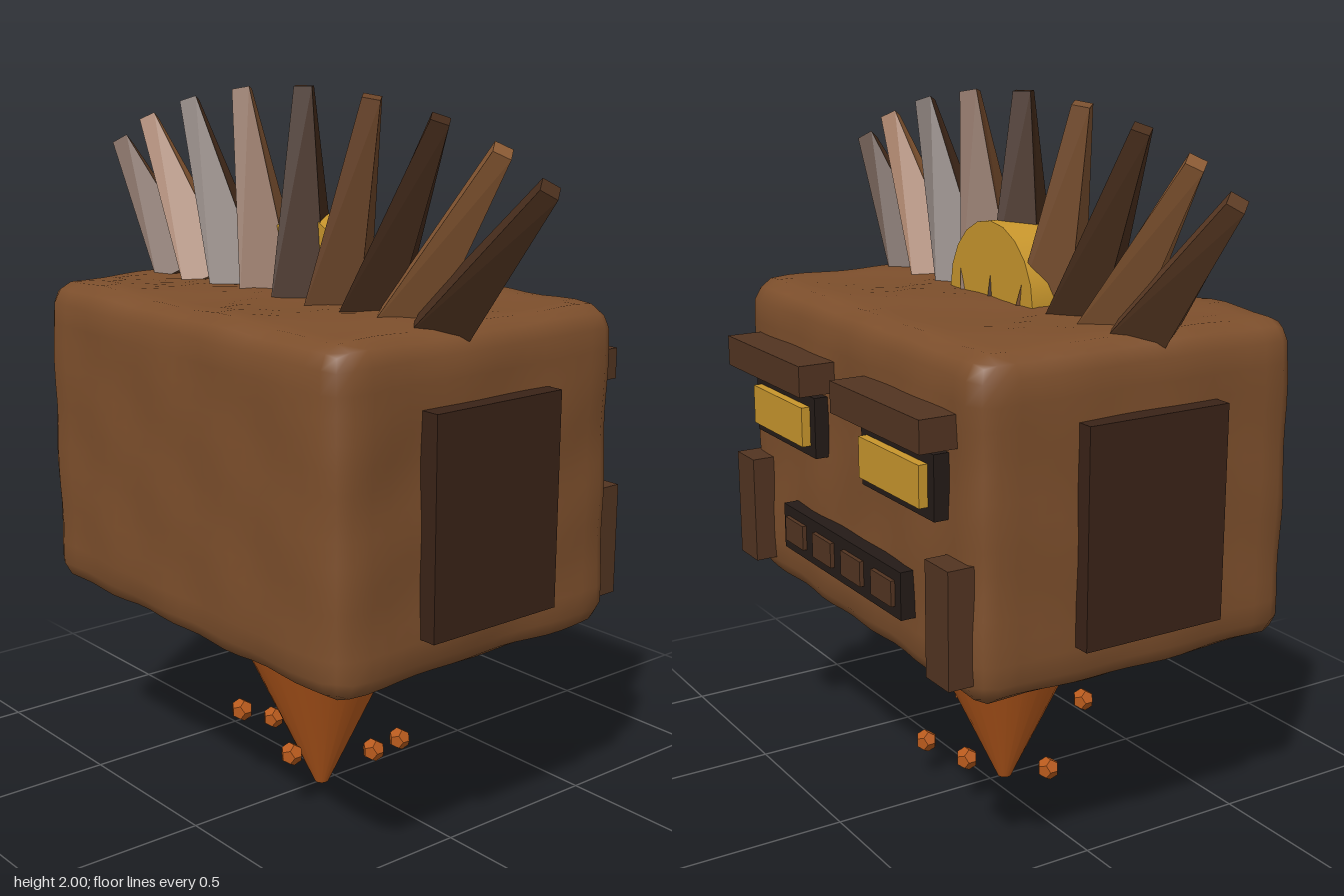
import * as THREE from 'three';
import { mergeVertices } from 'three/addons/utils/BufferGeometryUtils.js';

const mat = (color, flatShading = false) => new THREE.MeshStandardMaterial({ color, flatShading });
const ROCK = mat(0x7d4f2c), PLATE = mat(0x3a2317), BROW = mat(0x523421), DARK = mat(0x241b17),
  GOLD = mat(0xc8962c), ORANGE = mat(0xb85a1c), COLLAR = mat(0x3d322d), SPARK = mat(0xb85a1c, true);

function add(group, name, geometry, material, x = 0, y = 0, z = 0) {
  const mesh = new THREE.Mesh(geometry, material);
  mesh.name = name;
  mesh.position.set(x, y, z);
  group.add(mesh);
  return mesh;
}

// Box given by its limits on each axis
function block(group, name, material, [x0, x1], [y0, y1], [z0, z1]) {
  return add(group, name, new THREE.BoxGeometry(x1 - x0, y1 - y0, z1 - z0), material,
    (x0 + x1) / 2, (y0 + y1) / 2, (z0 + z1) / 2);
}

// Box with rounded edges and a slightly uneven stone surface
function stoneGeometry(w, h, d, r) {
  const geo = new THREE.BoxGeometry(w, h, d, 22, 15, 17);
  geo.deleteAttribute('uv');
  geo.deleteAttribute('normal');
  const merged = mergeVertices(geo, 1e-4);
  const pos = merged.attributes.position;
  const p = new THREE.Vector3(), inner = new THREE.Vector3();
  const half = new THREE.Vector3(w / 2 - r, h / 2 - r, d / 2 - r);
  for (let i = 0; i < pos.count; i++) {
    p.fromBufferAttribute(pos, i);
    inner.copy(p).clamp(half.clone().negate(), half);
    const bump = 0.005 * Math.sin(p.x * 11 + p.y * 7) * Math.sin(p.z * 9 + p.y * 13 + 1)
      + 0.003 * Math.sin(p.x * 23 - p.z * 19);
    p.sub(inner).setLength(r + bump).add(inner);
    pos.setXYZ(i, p.x, p.y, p.z);
  }
  merged.computeVertexNormals();
  return merged;
}

// Four-sided tapered spike, its base deeper than wide, from the origin up
function spikeGeometry(length) {
  const geo = new THREE.CylinderGeometry(0.034, 0.088, length, 4);
  geo.translate(0, length / 2, 0);
  const pos = geo.attributes.position;
  for (let i = 0; i < pos.count; i++) {
    if (pos.getY(i) < length / 2) pos.setZ(i, pos.getZ(i) * 1.33);
  }
  return geo;
}

export function createModel() {
  const model = new THREE.Group();
  model.name = 'floatingStoneHead';

  add(model, 'head', stoneGeometry(1.31, 0.89, 0.975, 0.075), ROCK, 0, 1.008, 0.05);

  // Mirrored parts; the face looks toward -z
  for (const s of [1, -1]) {
    const side = s > 0 ? 'left' : 'right';
    const span = (a, b) => (s > 0 ? [a, b] : [-b, -a]);
    block(model, side + 'SidePlate', PLATE, span(0.6, 0.705), [0.69, 1.27], [-0.16, 0.265]);
    block(model, side + 'Brow', BROW, span(0.09, 0.55), [1.22, 1.305], [-0.54, -0.4]);
    block(model, side + 'EyeSocket', DARK, span(0.135, 0.505), [1.03, 1.2], [-0.475, -0.4]);
    block(model, side + 'Eye', GOLD, span(0.165, 0.475), [1.06, 1.17], [-0.5, -0.42]);
    block(model, side + 'Cheek', BROW, span(0.5, 0.61), [0.63, 0.94], [-0.5, -0.4]);
  }

  // Mouth and teeth
  block(model, 'mouth', DARK, [-0.34, 0.34], [0.72, 0.85], [-0.48, -0.4]);
  for (let i = 0; i < 4; i++) {
    const x = (i - 1.5) * 0.17;
    block(model, 'tooth', BROW, [x - 0.055, x + 0.055], [0.75, 0.82], [-0.492, -0.42]);
  }

  // Fan of spikes across the crown
  const tips = [[0, 2.0], [0.275, 1.985], [0.53, 1.945], [0.745, 1.885], [0.9, 1.81]];
  const colors = [0x5c3b24, 0x8a5a34, 0x4a2f1d, 0x7a5030, 0x432a1a, 0x6b4428, 0x432a1a, 0x8a5a34, 0x4a2f1d];
  for (let i = -4; i <= 4; i++) {
    const [tx, ty] = tips[Math.abs(i)];
    const dir = new THREE.Vector3(Math.sign(i) * tx - i * 0.136, ty - 1.43, 0);
    const spike = add(model, 'spike', spikeGeometry(dir.length() - 0.01 * Math.abs(i) / 4),
      mat(colors[i + 4], true), i * 0.136, 1.43, 0.105);
    spike.rotation.z = -Math.atan2(dir.x, dir.y);
  }

  // Golden half disc standing behind the spikes
  const disc = add(model, 'crownDisc', new THREE.CylinderGeometry(0.21, 0.21, 0.11, 20), GOLD, 0, 1.45, 0.055);
  disc.rotation.x = Math.PI / 2;

  // Drill-shaped lower body
  add(model, 'collar', new THREE.CylinderGeometry(0.335, 0.226, 0.17, 24), COLLAR, 0, 0.515, 0.05);
  add(model, 'lowerCone', new THREE.CylinderGeometry(0.225, 0.02, 0.44, 24), ORANGE, 0, 0.22, 0.05);

  // Ring of sparks around the tip
  [0.18, 0.185, 0.24, 0.12, 0.155, 0.115].forEach((y, i) => {
    const a = (i * Math.PI) / 3;
    add(model, 'spark', new THREE.DodecahedronGeometry(0.033), SPARK,
      0.232 * Math.cos(a), y, 0.05 + 0.232 * Math.sin(a));
  });

  return model;
}
